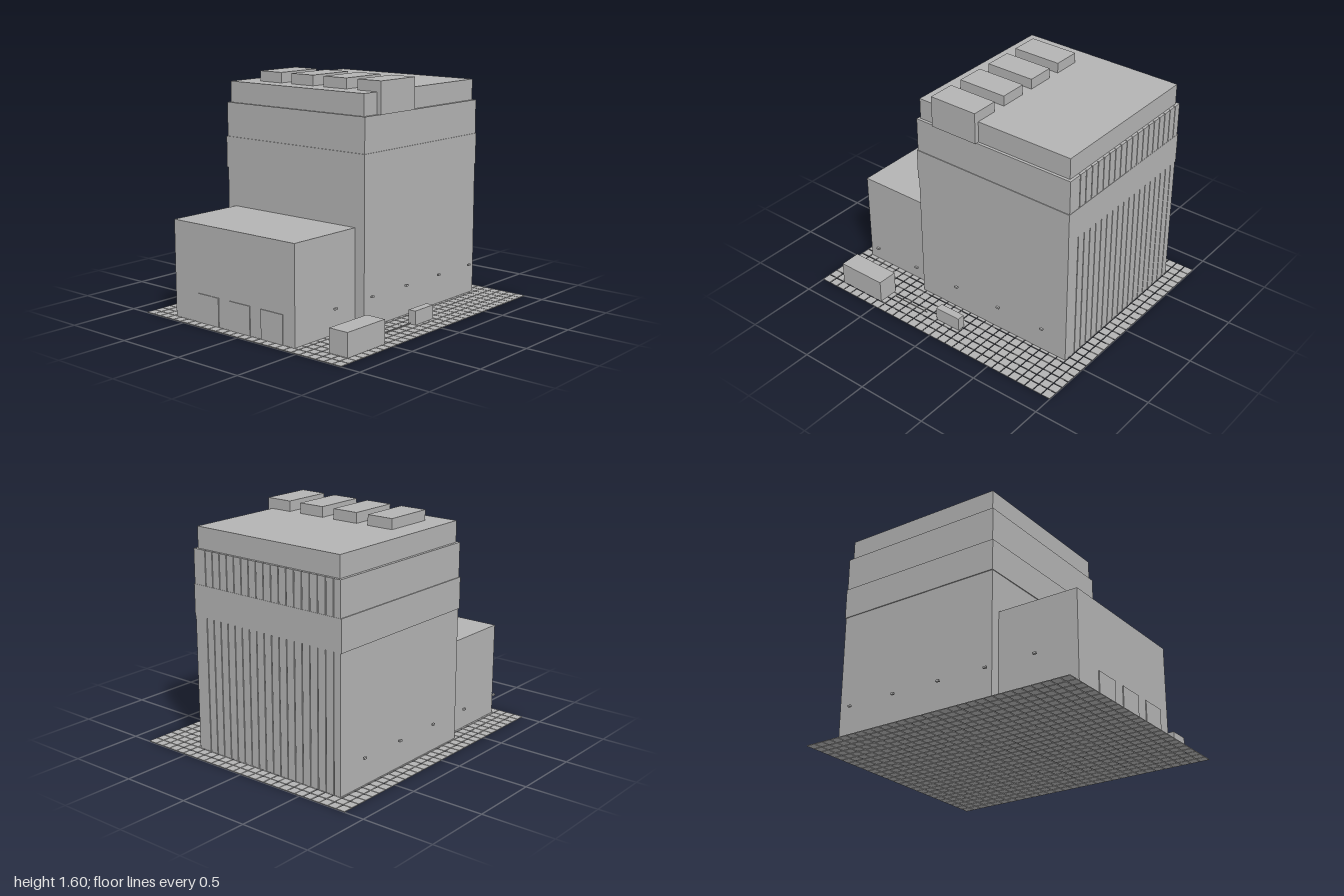
import * as THREE from 'three';
import { mergeGeometries } from 'three/addons/utils/BufferGeometryUtils.js';

// Box geometry from min/max extents on each axis
function span([x0, x1], [y0, y1], [z0, z1]) {
  return new THREE.BoxGeometry(x1 - x0, y1 - y0, z1 - z0)
    .translate((x0 + x1) / 2, (y0 + y1) / 2, (z0 + z1) / 2);
}

export function createModel() {
  const model = new THREE.Group();
  model.name = 'building';
  const concrete = new THREE.MeshStandardMaterial({ color: 0xb3b3b3 });
  concrete.name = 'concrete grey';

  function add(name, ...geometries) {
    const geometry = geometries.length > 1 ? mergeGeometries(geometries) : geometries[0];
    const mesh = new THREE.Mesh(geometry, concrete);
    mesh.name = name;
    model.add(mesh);
  }

  // Paved ground: 30 x 26 slabs with narrow joints
  const paving = [];
  const columns = 30, rows = 26, width = 2, depth = 1.714, joint = 0.003;
  const px = width / columns, pz = depth / rows;
  for (let i = 0; i < columns; i++) {
    for (let j = 0; j < rows; j++) {
      const x = -width / 2 + i * px, z = -depth / 2 + j * pz;
      paving.push(span(
        [x + (i ? joint : 0), x + px - (i < columns - 1 ? joint : 0)],
        [0, 0.005],
        [z + (j ? joint : 0), z + pz - (j < rows - 1 ? joint : 0)]));
    }
  }
  add('paving', ...paving);

  // Tower block, projecting band and set-back top storey
  add('tower', span([-0.357, 0.851], [0.005, 1.38], [-0.713, 0.504]));
  add('band', span([-0.363, 0.864], [0.93, 1.145], [-0.72, 0.509]));
  add('topStorey', span([-0.341, 0.843], [1.38, 1.524], [-0.693, 0.484]));

  // Vertical cladding strips on the left flank, with narrow grooves between
  const strips = [];
  const first = 0.403, pitch = 0.0625, groove = 0.003;
  for (const y of [[0.005, 0.93], [1.145, 1.38]]) {
    strips.push(span([0.851, 0.862], y, [first + groove, 0.504]));
    for (let i = 0; i < 18; i++) {
      const z = first - i * pitch;
      const end = i === 17 ? -0.713 : z - pitch + groove;
      strips.push(span([0.851, 0.862], y, [end, z - groove]));
    }
  }
  add('claddingStrips', ...strips);

  // Roof plant units
  for (const z of [-0.437, -0.152, 0.134, 0.42]) {
    add('roofUnit', span([-0.213, 0.141], [1.38, 1.595], [z - 0.097, z + 0.097]));
  }

  // Low side wing with three loading doors
  add('wing', span([-0.929, -0.357], [0.005, 0.664], [-0.643, 0.427]));
  for (const z of [-0.33, -0.048, 0.235]) {
    add('loadingDoor', span([-0.935, -0.928], [0.005, 0.2], [z - 0.093, z + 0.093]));
  }

  // Lamp heads along the front and back
  for (const z of [0.572, -0.785]) {
    for (let i = -2; i <= 2; i++) {
      const x = i * 0.358;
      add('lamp', span([x - 0.012, x + 0.012], [0.229, 0.242], [z - 0.007, z + 0.007]));
    }
  }

  // Forecourt: truck, car and barrier pole
  add('truck', span([-0.86, -0.502], [0.005, 0.163], [0.643, 0.789]));
  add('car', span([-0.071, 0.123], [0.005, 0.1], [0.645, 0.7]));
  add('barrier', span([-0.43, -0.143], [0.037, 0.043], [0.713, 0.719]));

  return model;
}
